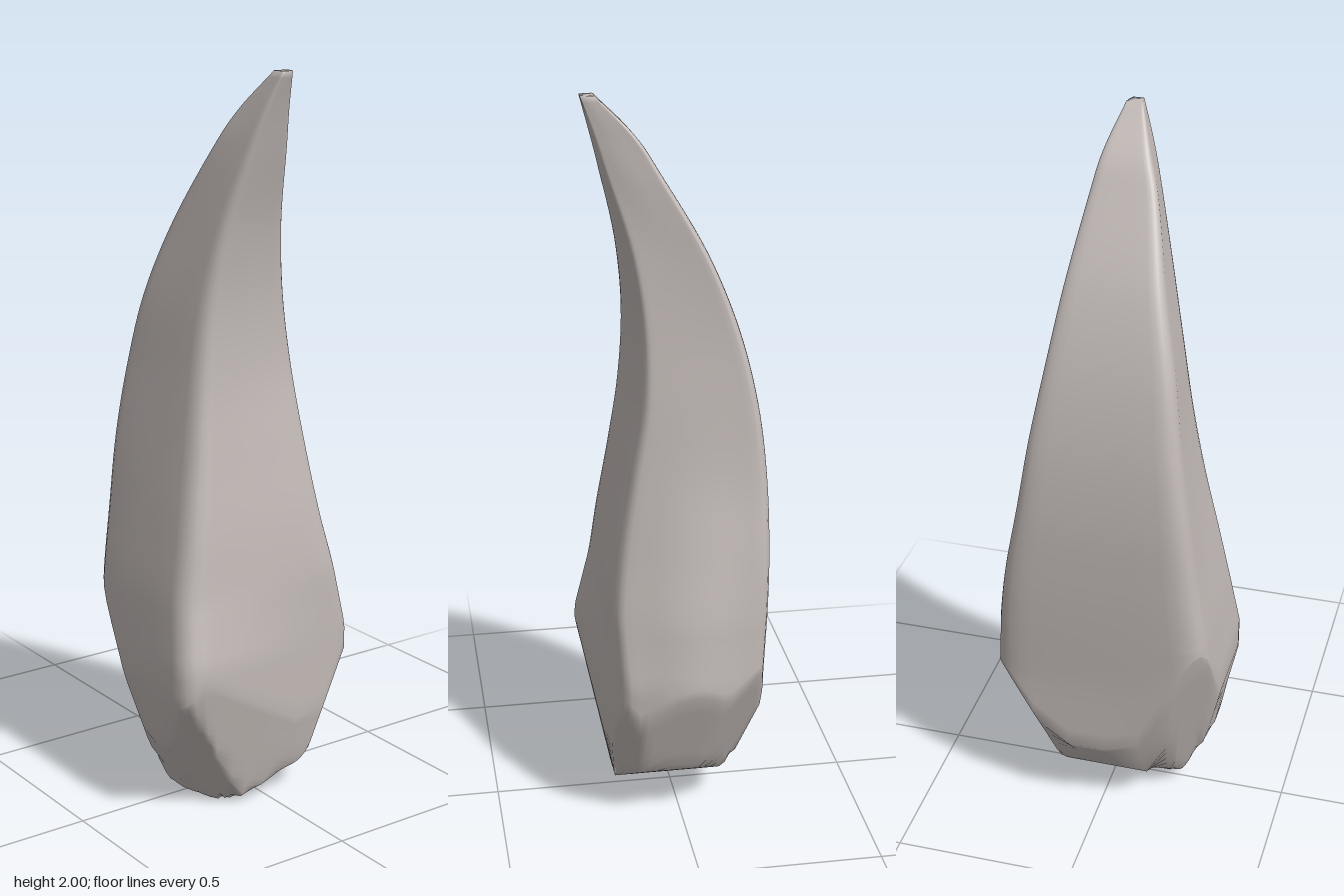
import * as THREE from 'three';

// Cross-section corners by height:
// y, then x,z of front-left, front-right, right, back-right, back-left
const SECTIONS = [
  [0.45, -0.32, 0.25, 0.27, 0.18, 0.33, -0.02, 0.28, -0.222, -0.32, -0.228],
  [0.62, -0.295, 0.205, 0.22, 0.19, 0.303, -0.01, 0.275, -0.232, -0.305, -0.234],
  [0.80, -0.26, 0.18, 0.178, 0.17, 0.255, -0.02, 0.257, -0.238, -0.28, -0.238],
  [1.00, -0.22, 0.15, 0.153, 0.132, 0.20, -0.03, 0.222, -0.235, -0.255, -0.235],
  [1.20, -0.187, 0.125, 0.135, 0.095, 0.165, -0.05, 0.19, -0.213, -0.225, -0.213],
  [1.40, -0.157, 0.117, 0.108, 0.09, 0.13, -0.03, 0.155, -0.165, -0.195, -0.165],
  [1.60, -0.12, 0.136, 0.08, 0.116, 0.10, 0.02, 0.123, -0.085, -0.148, -0.085],
  [1.80, -0.072, 0.18, 0.05, 0.172, 0.07, 0.12, 0.088, 0.03, -0.098, 0.035],
  [1.90, -0.045, 0.205, 0.035, 0.20, 0.05, 0.16, 0.067, 0.095, -0.06, 0.10],
  [2.00, -0.01, 0.232, 0.02, 0.232, 0.025, 0.22, 0.03, 0.195, -0.015, 0.195],
];
const CORNER_STEPS = 5, EDGE_STEPS = 4;

// One smooth lengthwise curve for each corner
const rails = [0, 1, 2, 3, 4].map((c) => new THREE.CatmullRomCurve3(
  SECTIONS.map((s) => new THREE.Vector3(s[1 + c * 2], s[0], s[2 + c * 2])), false, 'catmullrom', 0.5));

// Closed outline with rounded corners at rail parameter t
function outline(t) {
  const corners = rails.map((r) => r.getPoint(t));
  const n = corners.length, points = [];
  const fillet = (i) => {
    const p = corners[i], r = i === 2 ? 0.4 : 0.16;
    return new THREE.QuadraticBezierCurve3(
      p.clone().lerp(corners[(i + n - 1) % n], r), p, p.clone().lerp(corners[(i + 1) % n], r));
  };
  for (let i = 0; i < n; i++) {
    const curve = fillet(i), next = fillet((i + 1) % n);
    points.push(...curve.getPoints(CORNER_STEPS));
    for (let k = 1; k < EDGE_STEPS; k++) points.push(curve.v2.clone().lerp(next.v0, k / EDGE_STEPS));
  }
  return points;
}

// Height of the chiselled underside, made of flat facets
function underside(x, z) {
  return Math.max(
    0,
    // right
    0.045 + 0.35 * x,
    0.02 + 0.62 * x,
    0.16 + 2.7 * (x - 0.22),
    // left
    -0.5 * (x + 0.13),
    1.9 * (-0.185 - x),
    6 * (-0.257 - x),
    // back and front
    0.03 - 0.54 * z,
    0.2 - 1.4 * (z + 0.2),
    5 * (z - 0.158),
    // front corners
    1.24 * (z - x - 0.23),
    2.2 * (x + z - 0.26),
    // back corners
    0.46 + 1.8 * (x - 0.27) - 1.3 * (z + 0.21),
    0.55 - 2.1 * (x + 0.31) - 2 * (z + 0.17));
}

function clawGeometry() {
  const rows = [];
  const rim = outline(0);
  const lowest = new THREE.Vector3(-0.13, 0, 0.12);

  // Faceted root, from the lowest point out to the rim
  for (let k = 0; k < 24; k++) {
    rows.push(rim.map((p) => {
      const q = lowest.clone().lerp(p, k / 24);
      q.y = underside(q.x, q.z);
      return q;
    }));
  }

  // Lower wall, blending from the uneven rim to a level ring
  const level = SECTIONS[1][0], base = SECTIONS[0][0], first = 1 / (SECTIONS.length - 1);
  const ring = outline(first);
  for (let k = 0; k < 8; k++) {
    rows.push(rim.map((p, i) => {
      const y = THREE.MathUtils.lerp(Math.min(underside(p.x, p.z), level - 0.02), level, k / 8);
      const q = p.clone().lerp(ring[i], Math.max(0, (y - base) / (level - base)));
      q.y = y;
      return q;
    }));
  }

  // Curved shaft up to the tip
  const steps = 48;
  for (let k = 0; k <= steps; k++) rows.push(outline(first + (1 - first) * k / steps));
  const tip = new THREE.Vector3(0.01, 2, 0.215);
  rows.push(rim.map(() => tip.clone()));

  const n = rim.length, index = [];
  for (let j = 0; j < rows.length - 1; j++) {
    for (let i = 0; i < n; i++) {
      const a = j * n + i, b = j * n + (i + 1) % n;
      index.push(a, b, b + n, a, b + n, a + n);
    }
  }
  const geometry = new THREE.BufferGeometry().setFromPoints(rows.flat());
  geometry.setIndex(index);
  geometry.computeVertexNormals();
  return geometry;
}

export function createModel() {
  const bone = new THREE.MeshStandardMaterial({ color: 0xc0b8b5 });
  bone.name = 'bone';
  const claw = new THREE.Mesh(clawGeometry(), bone);
  claw.name = 'claw';
  const model = new THREE.Group();
  model.name = 'curvedClaw';
  model.add(claw);
  return model;
}
